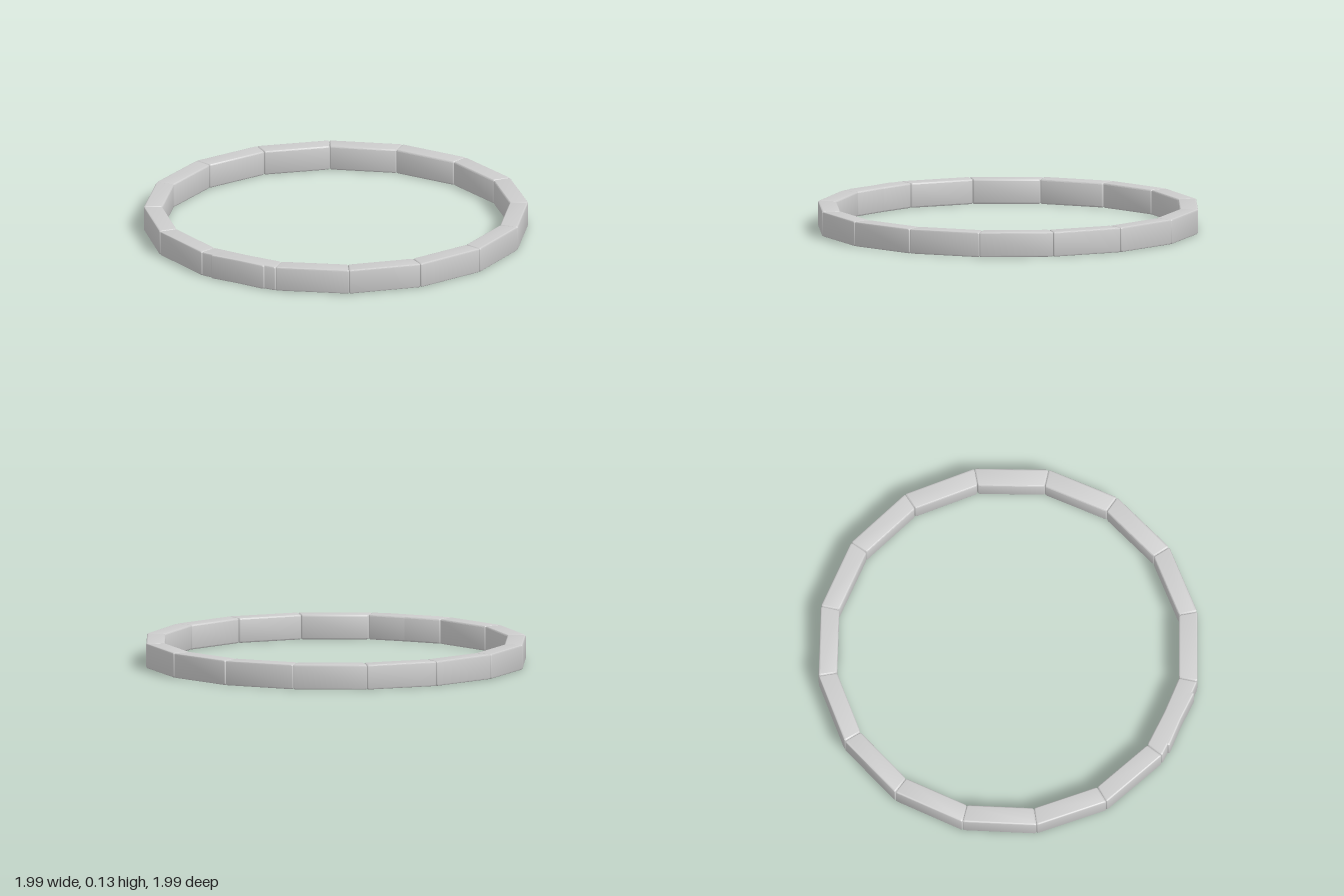
import * as THREE from 'three';
import { toCreasedNormals } from 'three/addons/utils/BufferGeometryUtils.js';

const HEIGHT = 0.13;
const INNER = 0.902;        // corner radii of each mitred block
const OUTER = 1.0;
const COUNT = 17;           // slightly more than a full turn: first and last overlap
const STEP = THREE.MathUtils.degToRad(22.27);
const START = THREE.MathUtils.degToRad(73.8);
const BEVEL = 0.008;
const ROUND = 0.013;

// Closed outline with softly rounded corners
function roundedOutline(corners, r) {
  const shape = new THREE.Shape();
  const n = corners.length;
  corners.forEach((c, i) => {
    const prev = corners[(i + n - 1) % n];
    const next = corners[(i + 1) % n];
    const a = c.clone().add(prev.clone().sub(c).setLength(r));
    const b = c.clone().add(next.clone().sub(c).setLength(r));
    if (i === 0) shape.moveTo(a.x, a.y);
    else shape.lineTo(a.x, a.y);
    shape.quadraticCurveTo(c.x, c.y, b.x, b.y);
  });
  shape.closePath();
  return shape;
}

// One wedge-ended block, centred on the +x direction
function blockGeometry() {
  const polar = (r, a) => new THREE.Vector2(r * Math.cos(a), r * Math.sin(a));
  const half = STEP / 2;
  const shape = roundedOutline(
    [polar(INNER, -half), polar(OUTER, -half), polar(OUTER, half), polar(INNER, half)],
    ROUND
  );
  const geo = new THREE.ExtrudeGeometry(shape, {
    depth: HEIGHT - 2 * BEVEL,
    bevelEnabled: true,
    bevelThickness: BEVEL,
    bevelSize: BEVEL,
    bevelOffset: -BEVEL,
    bevelSegments: 3,
    curveSegments: 4,
  });
  geo.rotateX(Math.PI / 2);
  geo.translate(0, HEIGHT - BEVEL, 0);
  return toCreasedNormals(geo, 0.7);
}

export function createModel() {
  const model = new THREE.Group();
  model.name = 'blockRing';
  const material = new THREE.MeshStandardMaterial({ color: 0xcccccc });
  const geometry = blockGeometry();

  // Blocks laid end to end around the ring
  for (let i = 0; i < COUNT; i++) {
    const block = new THREE.Mesh(geometry, material);
    block.name = `ringBlock${i + 1}`;
    block.rotation.y = -(START + (i + 0.5) * STEP);
    model.add(block);
  }
  return model;
}
